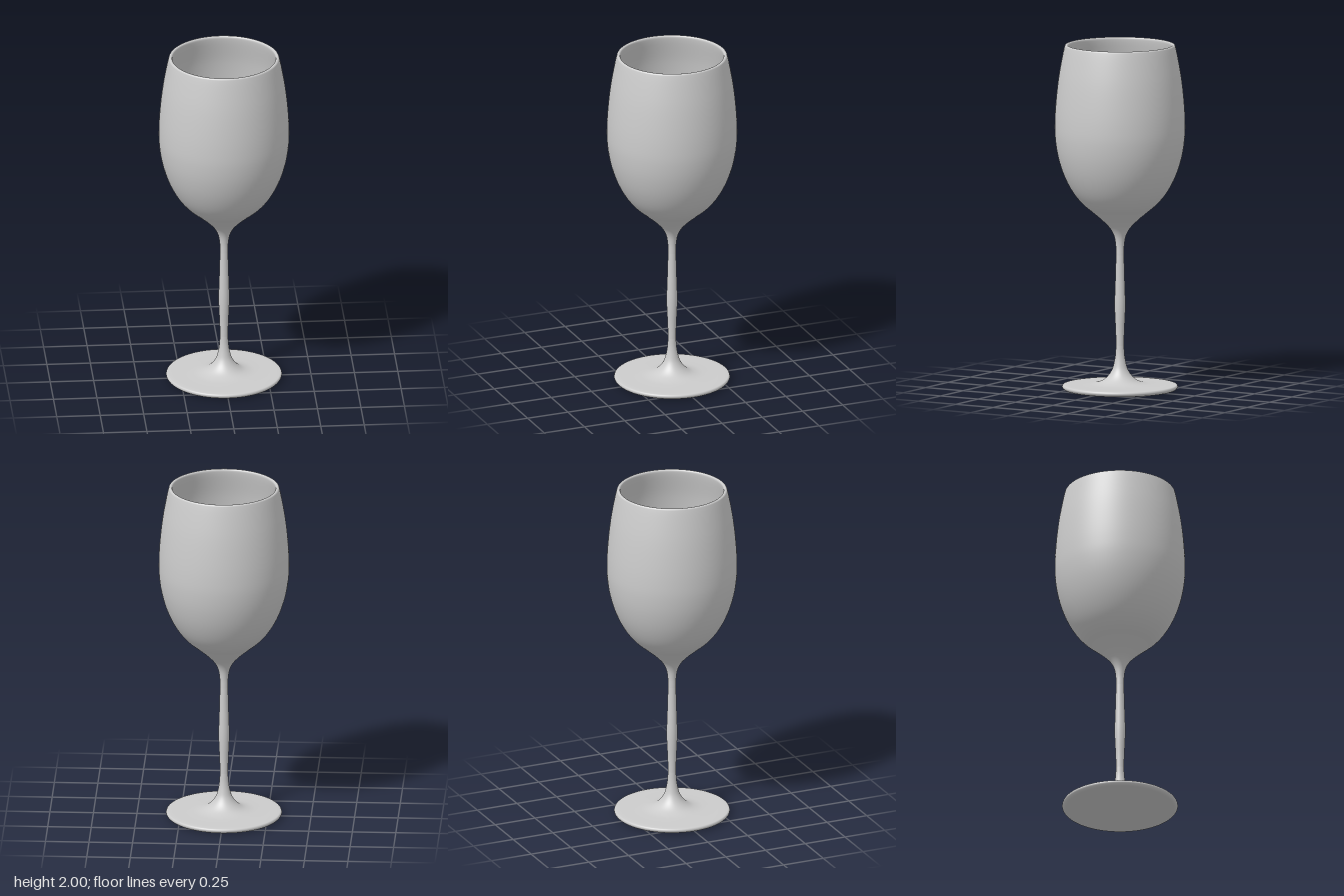
import * as THREE from 'three';

const material = new THREE.MeshStandardMaterial({ color: 0xcccccc });

// Smooth curve through [radius, height] pairs
function smooth(pairs, steps) {
  const curve = new THREE.CatmullRomCurve3(pairs.map(([r, y]) => new THREE.Vector3(r, y, 0)));
  return curve.getPoints(steps).map((p) => new THREE.Vector2(Math.max(p.x, 0), p.y));
}

function turned(name, points) {
  const mesh = new THREE.Mesh(new THREE.LatheGeometry(points, 96), material);
  mesh.name = name;
  return mesh;
}

export function createModel() {
  const group = new THREE.Group();
  group.name = 'wineGlass';

  // Foot: flat underside, rounded edge, flare rising into the stem
  const foot = [
    new THREE.Vector2(0, 0.004),
    ...smooth([
      [0.27, 0.003], [0.30, 0.003], [0.321, 0.007], [0.332, 0.02], [0.328, 0.031], [0.315, 0.034],
      [0.22, 0.036], [0.15, 0.041], [0.105, 0.055], [0.07, 0.083], [0.046, 0.12],
      [0.034, 0.16], [0.026, 0.21], [0.0235, 0.26],
    ], 72),
  ];
  foot[0].y = 0.003;
  foot.forEach((p) => { p.y = Math.max(p.y - 0.003, 0); });
  group.add(turned('foot', foot));

  // Stem: slender with a slight swell in the middle
  group.add(turned('stem', smooth([
    [0.0235, 0.257], [0.025, 0.34], [0.0295, 0.43], [0.031, 0.5],
    [0.029, 0.58], [0.0255, 0.68], [0.0235, 0.78],
  ], 32)));

  // Bowl: outer wall up to a rounded lip, then the inner wall down to the centre
  group.add(turned('bowl', smooth([
    [0.0235, 0.78], [0.025, 0.84], [0.034, 0.89], [0.056, 0.933], [0.10, 0.98],
    [0.155, 1.027], [0.215, 1.078], [0.27, 1.145], [0.32, 1.24], [0.355, 1.35],
    [0.372, 1.46], [0.374, 1.56], [0.366, 1.69], [0.349, 1.83], [0.319, 1.985],
    [0.315, 1.996], [0.307, 2.0], [0.299, 1.996], [0.297, 1.985],
    [0.329, 1.83], [0.346, 1.69], [0.354, 1.56], [0.352, 1.46], [0.335, 1.355],
    [0.301, 1.25], [0.253, 1.16], [0.2, 1.095], [0.14, 1.045], [0.07, 1.005], [0, 0.99],
  ], 190)));

  return group;
}
